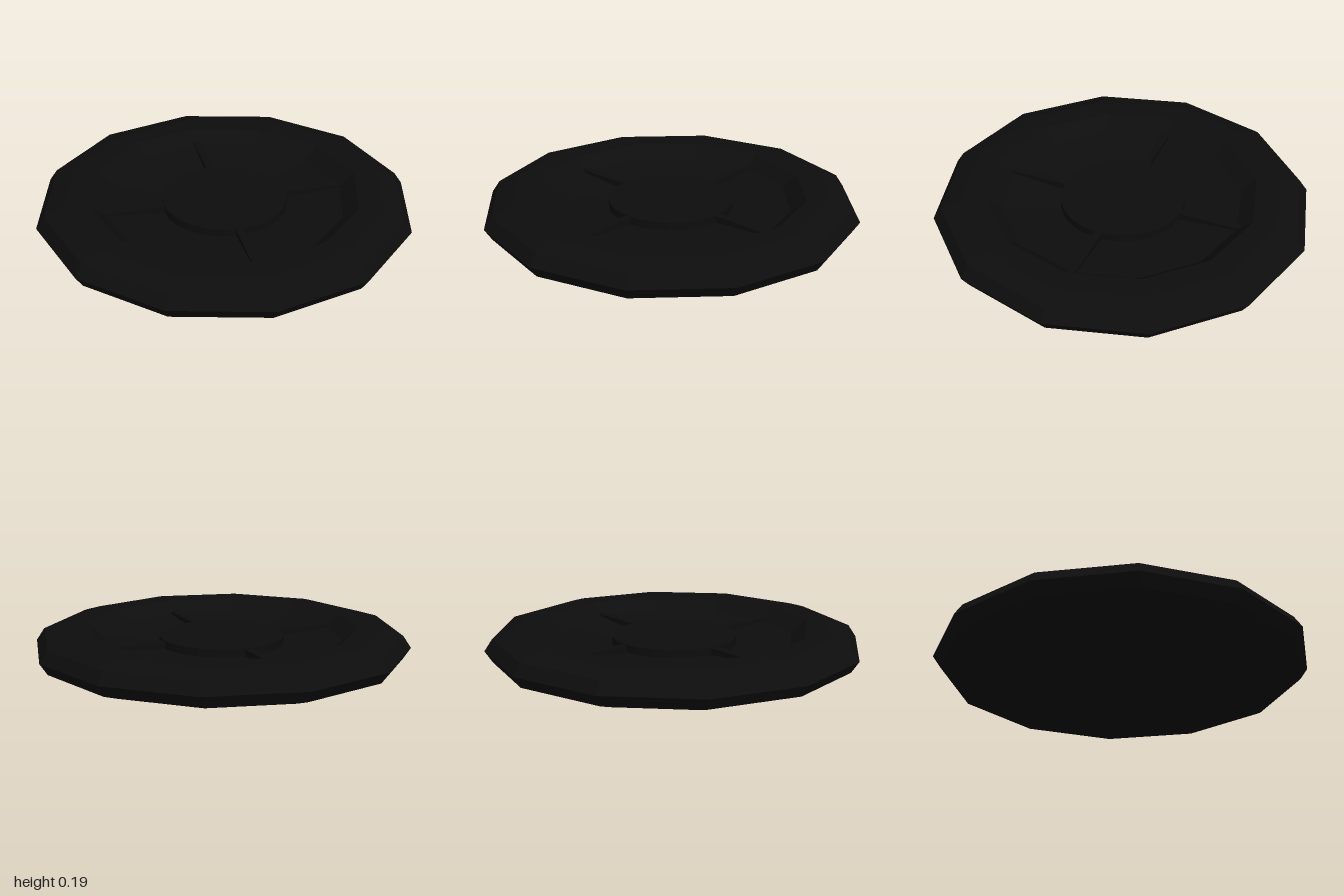
import * as THREE from 'three';

const black = new THREE.MeshStandardMaterial({ color: 0x0d0d0d });
black.name = 'black';

// Facet a geometry so that every face is shaded flat
function faceted(geometry) {
  const flat = geometry.toNonIndexed();
  flat.computeVertexNormals();
  return flat;
}

function part(name, geometry, parent) {
  const mesh = new THREE.Mesh(geometry, black);
  mesh.name = name;
  parent.add(mesh);
  return mesh;
}

// Twelve-sided turned section from a list of [radius, height] points
function turned(points) {
  return faceted(new THREE.LatheGeometry(points.map(([r, y]) => new THREE.Vector2(r, y)), 12));
}

export function createModel() {
  const group = new THREE.Group();
  group.name = 'disc';

  // Flat base and bevelled outer rim, sloping in to the recess
  part('rim', turned([
    [0, 0], [0.852, 0], [0.958, 0.036], [1, 0.098], [0.958, 0.162],
    [0.852, 0.195], [0.72, 0.195], [0.64, 0.13],
  ]), group);

  // Shallow recessed floor
  part('recessedFloor', turned([[0.64, 0.13], [0.33, 0.108], [0, 0.108]]), group);

  // Raised round hub
  const hub = part('hub', new THREE.CylinderGeometry(0.33, 0.33, 0.06, 24), group);
  hub.position.y = 0.12;

  // Four low ribs from the hub to the rim
  for (let i = 0; i < 4; i++) {
    const arm = new THREE.Group();
    arm.name = 'spokeArm';
    arm.rotation.y = i * Math.PI / 2;
    const spoke = part('spoke', new THREE.BoxGeometry(0.36, 0.04, 0.04), arm);
    spoke.position.set(0.48, 0.125, 0);
    group.add(arm);
  }

  return group;
}
